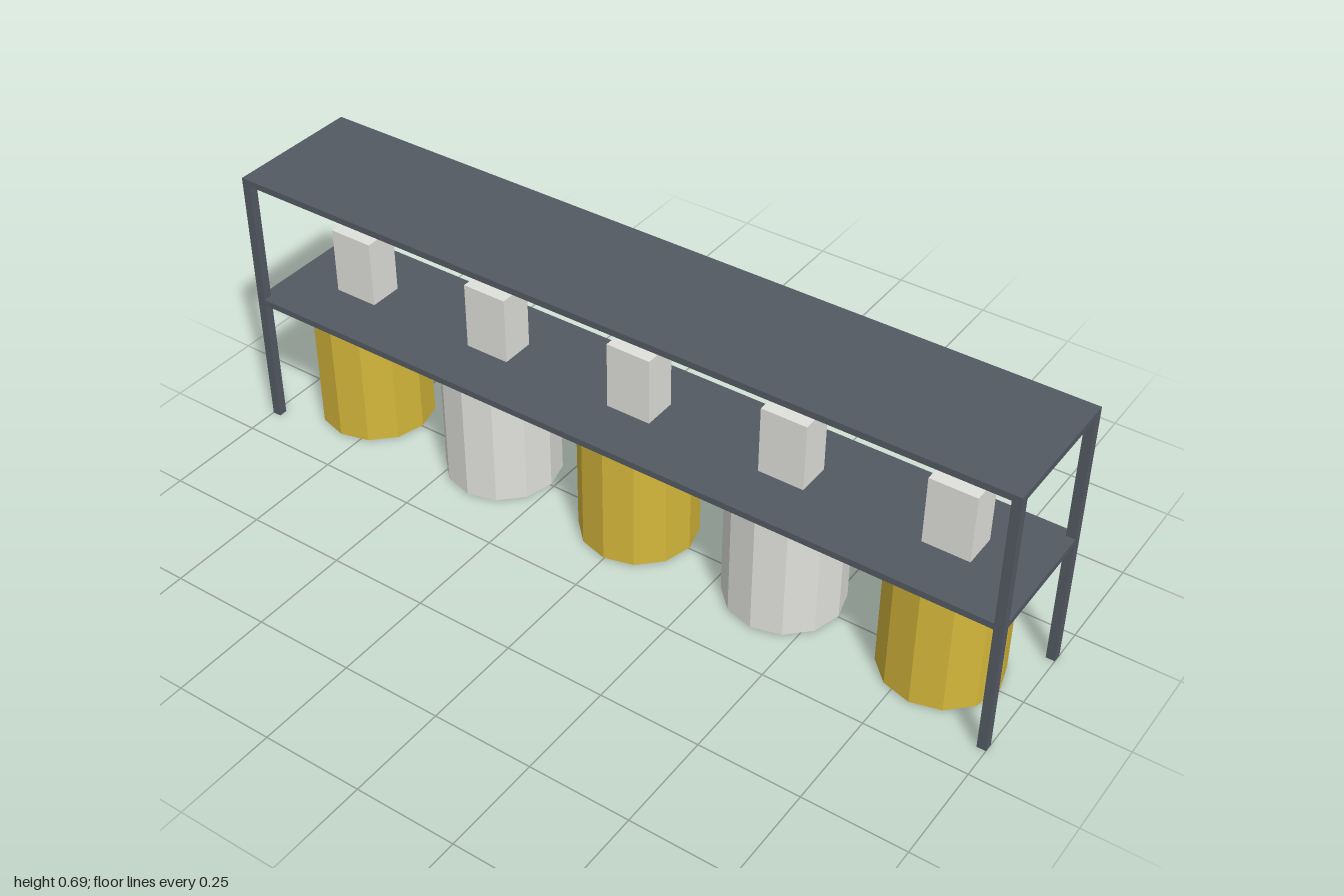
import * as THREE from 'three';

export function createModel() {
  const group = new THREE.Group();
  const material = (name, color, flatShading = false) => {
    const m = new THREE.MeshStandardMaterial({ color, flatShading });
    m.name = name;
    return m;
  };
  const slate = material('slate frame', 0x545a63);
  const gold = material('gold', 0xd4b73b, true);
  const silver = material('silver', 0xe0e0dc, true);

  const add = (name, geometry, mat, x, y, z) => {
    const mesh = new THREE.Mesh(geometry, mat);
    mesh.name = name;
    mesh.position.set(x, y, z);
    group.add(mesh);
  };

  // Frame: two boards on four square posts
  const length = 2, depth = 0.344, post = 0.022, board = 0.016;
  const boardGeometry = new THREE.BoxGeometry(length, board, depth);
  add('middleShelf', boardGeometry, slate, 0, 0.344, 0);
  add('topShelf', boardGeometry, slate, 0, 0.678, 0);
  const postGeometry = new THREE.BoxGeometry(post, 0.67, post);
  for (const sx of [-1, 1]) {
    for (const sz of [-1, 1]) {
      add('post', postGeometry, slate, sx * (length - post) / 2, 0.335, sz * (depth - post) / 2);
    }
  }

  // Alternating twelve-sided drums below, one small box above each
  const drumGeometry = new THREE.CylinderGeometry(0.143, 0.143, 0.315, 12);
  const boxGeometry = new THREE.BoxGeometry(0.114, 0.17, 0.086);
  for (let i = 0; i < 5; i++) {
    const x = (i - 2) * 0.4;
    add('drum', drumGeometry, i % 2 ? silver : gold, x, 0.161, 0);
    add('shelfBox', boxGeometry, silver, x, 0.442, 0);
  }
  return group;
}
